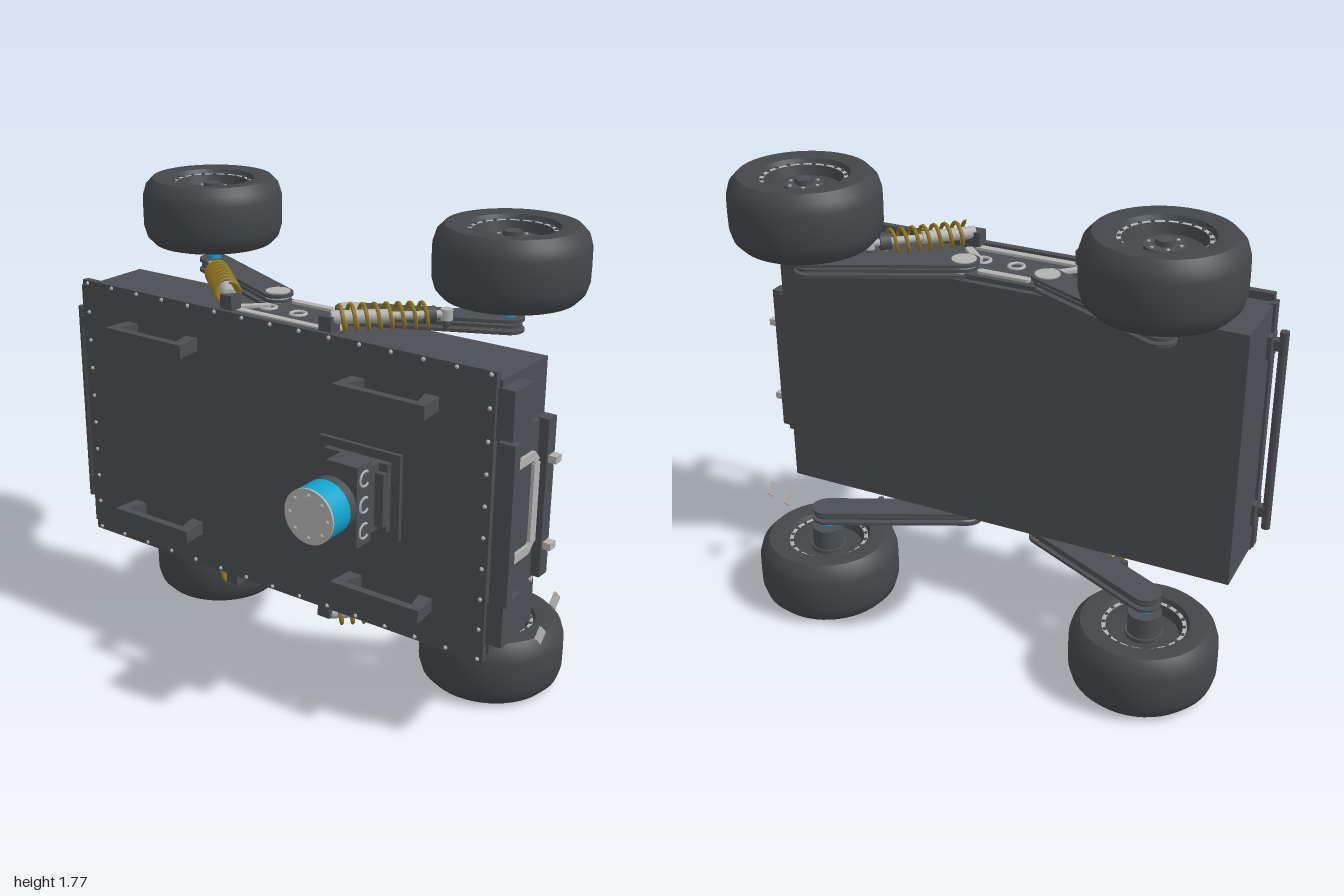
import * as THREE from 'three';
import { toCreasedNormals } from 'three/addons/utils/BufferGeometryUtils.js';

const mat = (name, color) => Object.assign(new THREE.MeshStandardMaterial({ color }), { name });
const CX = -0.007, CY = 0.885; // symmetry centre of the chassis

export function createModel() {
  const root = new THREE.Group();
  root.name = 'rover';
  const dark = mat('dark grey', 0x4b4e53), tyre = mat('tyre grey', 0x43474a);
  const light = mat('light grey', 0xb2b2b2), cyan = mat('cyan', 0x10a4cc);
  const gold = mat('spring gold', 0x8f7620);

  const add = (name, geo, material, x = 0, y = 0, z = 0) => {
    const m = new THREE.Mesh(geo, material);
    m.name = name;
    m.position.set(x, y, z);
    root.add(m);
    return m;
  };
  // box from its extents
  const box = (name, material, x0, x1, y0, y1, z0, z1) =>
    add(name, new THREE.BoxGeometry(x1 - x0, y1 - y0, z1 - z0), material,
      (x0 + x1) / 2, (y0 + y1) / 2, (z0 + z1) / 2);
  // upright disc or pin along y
  const pin = (name, material, r, x, y, z, h, n = 24) =>
    add(name, new THREE.CylinderGeometry(r, r, h, n), material, x, y, z);
  // cylinder between two points
  const rod = (name, material, a, b, r, n = 16) => {
    const d = b.clone().sub(a);
    const m = add(name, new THREE.CylinderGeometry(r, r, d.length(), n), material);
    m.position.copy(a).add(b).multiplyScalar(0.5);
    m.quaternion.setFromUnitVectors(new THREE.Vector3(0, 1, 0), d.normalize());
    return m;
  };
  // plate drawn in x and z, centred on height y
  const plate = (name, material, shape, y, t) => {
    const g = new THREE.ExtrudeGeometry(shape, { depth: t, bevelEnabled: false, curveSegments: 10 });
    g.translate(0, 0, -t / 2).rotateX(Math.PI / 2);
    return add(name, g, material, 0, y, 0);
  };
  const poly = pts => new THREE.Shape(pts.map(p => new THREE.Vector2(...p)));
  const capsule = (ax, az, bx, bz, r1, r2) => {
    const t = Math.atan2(bz - az, bx - ax), s = new THREE.Shape();
    s.absarc(ax, az, r1, t + Math.PI / 2, t + Math.PI * 1.5, false);
    s.absarc(bx, bz, r2, t - Math.PI / 2, t + Math.PI / 2, false);
    return s;
  };

  // hull and lid
  box('hull', dark, -0.935, 0.91, 0.385, 1.385, -0.103, 0.2);
  box('lid', dark, -0.93, 0.9, 0.355, 1.415, 0.195, 0.222);
  box('rearLip', dark, -0.945, -0.92, 0.385, 1.39, 0.17, 0.215);
  const boltGeo = new THREE.SphereGeometry(0.008, 8, 6);
  for (let i = 0; i < 15; i++)
    for (const y of [0.367, 1.404]) add('lidBolt', boltGeo, light, -0.905 + i * 0.1275, y, 0.222);
  for (let i = 1; i < 9; i++)
    for (const x of [-0.905, 0.88]) add('lidBolt', boltGeo, light, x, 0.367 + i * 0.1152, 0.222);

  // carrying handles on the lid
  const handleShape = poly([[-0.175, 0], [-0.185, 0.108], [0.185, 0.108], [0.175, 0],
    [0.12, 0], [0.14, 0.078], [-0.14, 0.078], [-0.12, 0]]);
  for (const x of [-0.53, 0.515]) for (const y of [0.515, 1.262])
    plate('handle', dark, handleShape, y, 0.05).position.set(x, y, 0.22);

  // sensor tower
  box('sensorBase', dark, 0.216, 0.556, 0.727, 1.047, 0.22, 0.238);
  box('sensorStep', dark, 0.255, 0.52, 0.76, 1.015, 0.238, 0.262);
  box('sensorStep', dark, 0.29, 0.52, 0.785, 0.985, 0.262, 0.285);
  box('sensorNeck', dark, 0.36, 0.485, 0.765, 1.015, 0.262, 0.32);
  box('sensorBracket', dark, 0.36, 0.488, 0.74, 1.04, 0.31, 0.395);
  for (let i = -1; i < 2; i++) {
    const hook = add('bracketHook', new THREE.TorusGeometry(0.027, 0.005, 6, 20, 4.6), light, 0.489, 0.89 + i * 0.097, 0.352);
    hook.rotation.set(0, Math.PI / 2, 0.9, 'YXZ');
  }
  const turret = (name, m, r, z0, z1) => {
    const g = new THREE.CylinderGeometry(r, r, z1 - z0, 40).rotateX(Math.PI / 2);
    add(name, g, m, 0.387, CY, (z0 + z1) / 2);
  };
  turret('sensorCollar', dark, 0.101, 0.39, 0.43);
  turret('sensorWindow', cyan, 0.1, 0.43, 0.525);
  turret('sensorCap', light, 0.101, 0.525, 0.533);
  for (let i = 0; i < 8; i++)
    add('capBolt', boltGeo, light, 0.387 + 0.078 * Math.cos(i * Math.PI / 4), CY + 0.078 * Math.sin(i * Math.PI / 4), 0.531);

  // rear bar with standoffs
  rod('rearBar', dark, new THREE.Vector3(-0.983, 0.48, 0.18), new THREE.Vector3(-0.983, 1.29, 0.18), 0.017);
  for (const y of [0.55, 1.235]) {
    box('rearBarMount', dark, -0.985, -0.93, y - 0.02, y + 0.02, 0.165, 0.2);
    box('rearBarFoot', dark, -0.95, -0.93, y - 0.045, y + 0.045, 0.13, 0.205);
  }

  // nose panel, corner blocks, light frame and bars
  box('nosePanel', dark, 0.9, 0.93, 0.59, 1.185, -0.1, 0.2);
  for (const [a, b] of [[0.43, 0.59], [1.185, 1.36]]) box('noseBlock', dark, 0.9, 0.962, a, b, 0.085, 0.21);
  box('noseBar', dark, 0.915, 0.98, 0.593, 1.18, 0.185, 0.222);
  box('noseStrip', dark, 0.92, 0.965, 0.6, 1.19, -0.09, -0.035);
  box('noseGlow', cyan, 0.928, 0.936, 0.7, 1.07, 0.172, 0.186);
  for (const z of [0.155, -0.015]) box('noseFrameSide', light, 0.925, 0.942, 0.735, 1.035, z - 0.02, z + 0.02);
  for (const y of [0.72, 1.068]) {
    box('noseFrameEnd', light, 0.925, 0.942, y - 0.017, y + 0.017, 0.01, 0.13);
    for (const z of [0.143, -0.003]) {
      const m = box('noseFrameCorner', light, 0.925, 0.941, -0.015, 0.015, -0.025, 0.025);
      m.position.y = y + (y < CY ? 0.012 : -0.012);
      m.position.z = z;
      m.rotation.x = (z > 0) === (y > CY) ? Math.PI / 4 : -Math.PI / 4;
    }
  }
  for (const y of [0.72, 1.045]) box('noseStud', light, 0.955, 0.995, y - 0.013, y + 0.013, -0.085, -0.045);
  for (const [y, z] of [[0.51, 0.05], [0.6, -0.055], [0.395, -0.265], [0.295, -0.165]]) {
    const m = box('markerPlate', light, 0.917, 0.927, -0.026, 0.026, -0.026, 0.026);
    m.position.y = y;
    m.position.z = z;
    m.rotation.x = Math.PI / 4;
  }

  // wheel profile: deep bowl below, shallow rim above
  const wheelGeo = toCreasedNormals(new THREE.LatheGeometry([
    [0, -0.01], [0.125, -0.01], [0.14, -0.11], [0.16, -0.124], [0.2, -0.13], [0.235, -0.128], [0.262, -0.1],
    [0.274, -0.06], [0.275, 0], [0.274, 0.06], [0.262, 0.1], [0.235, 0.128], [0.2, 0.13], [0.165, 0.124],
    [0.155, 0.105], [0.14, 0.105], [0.13, 0.07], [0, 0.07],
  ].map(p => new THREE.Vector2(...p)), 48), 0.6);

  for (const s of [-1, 1]) {
    const Y = d => CY + s * d;
    // suspension mount plate and its light frame
    plate('mountPlate', dark, poly([[CX - 0.25, 0.2], [CX + 0.25, 0.2], [CX + 0.24, 0.13], [CX + 0.14, -0.08],
      [CX - 0.14, -0.08], [CX - 0.24, 0.13]]), Y(0.507), 0.022);
    const bar = (x0, z0, x1, z1, w) => plate('mountFrame', light, capsule(CX + x0, z0, CX + x1, z1, w, w), Y(0.522), 0.012);
    bar(-0.09, -0.043, 0.09, -0.043, 0.015);
    bar(-0.2, 0.16, 0.2, 0.16, 0.015);
    for (const k of [-1, 1]) bar(k * 0.225, 0.13, k * 0.15, 0.055, 0.015);
    for (const x of [-0.135, 0, 0.135]) {
      const ring = add('mountRing', new THREE.TorusGeometry(0.028, 0.007, 8, 24), light, CX + x, Y(0.519), 0.062);
      ring.rotation.x = Math.PI / 2;
    }

    for (const k of [-1, 1]) {
      const X = x => CX + k * x;
      const wx = X(0.672), wz = -0.268;
      // swing arm from stacked plates
      for (const [d, r] of [[0.506, 0.058], [0.526, 0.05], [0.547, 0.058]])
        plate('swingArm', dark, capsule(X(0.165), -0.032, wx, wz, r, r), Y(d), 0.012);
      pin('armPivot', light, 0.046, X(0.165), Y(0.535), -0.032, 0.045);

      // spring and damper
      const a = new THREE.Vector3(X(0.225), Y(0.575), 0.175), b = new THREE.Vector3(X(0.525), Y(0.575), -0.095);
      const at = t => a.clone().lerp(b, t);
      const dir = b.clone().sub(a).normalize(), up = new THREE.Vector3(0, 1, 0), side = dir.clone().cross(up);
      box('springMount', dark, X(0.22) - 0.026, X(0.22) + 0.026, Y(0.553) - 0.03, Y(0.553) + 0.03, 0.15, 0.205);
      rod('damperBody', light, a, at(0.5), 0.024);
      rod('damperRod', light, at(0.5), b, 0.014);
      rod('damperCap', dark, at(0.8), at(0.9), 0.03);
      pin('damperEye', light, 0.022, b.x, b.y, b.z, 0.04, 16);
      pin('damperBolt', dark, 0.012, b.x, Y(0.555), b.z, 0.07, 12);
      const coil = new THREE.Curve();
      coil.getPoint = (t, v = new THREE.Vector3()) => {
        const w = t * Math.PI * 2 * 7.5;
        return v.copy(at(0.07 + 0.77 * t)).addScaledVector(up, 0.043 * Math.cos(w)).addScaledVector(side, 0.043 * Math.sin(w));
      };
      add('spring', new THREE.TubeGeometry(coil, 150, 0.0075, 6), gold);

      // axle and wheel
      pin('axleRing', cyan, 0.028, wx, Y(0.567), wz, 0.025);
      pin('axlePin', dark, 0.022, wx, Y(0.57), wz, 0.1);
      pin('axleHub', dark, 0.062, wx, Y(0.665), wz, 0.16);
      const wy = Y(0.753);
      add('wheel', wheelGeo, tyre, wx, wy, wz);
      const trim = add('rimTrim', new THREE.RingGeometry(0.141, 0.156, 48), light, wx, wy + 0.107, wz);
      trim.rotation.x = -Math.PI / 2;
      for (let i = 0; i < 20; i++) {
        const t = i * Math.PI / 10;
        pin('rimBolt', dark, 0.007, wx + 0.148 * Math.cos(t), wy + 0.108, wz + 0.148 * Math.sin(t), 0.008, 6);
      }
      pin('hubFlange', dark, 0.07, wx, wy + 0.075, wz, 0.022, 32);
      pin('hubNut', dark, 0.034, wx, wy + 0.09, wz, 0.03, 6);
      for (let i = 0; i < 6; i++) {
        const t = i * Math.PI / 3;
        pin('hubBolt', light, 0.006, wx + 0.055 * Math.cos(t), wy + 0.087, wz + 0.055 * Math.sin(t), 0.006, 8);
      }
    }
  }
  return root;
}
